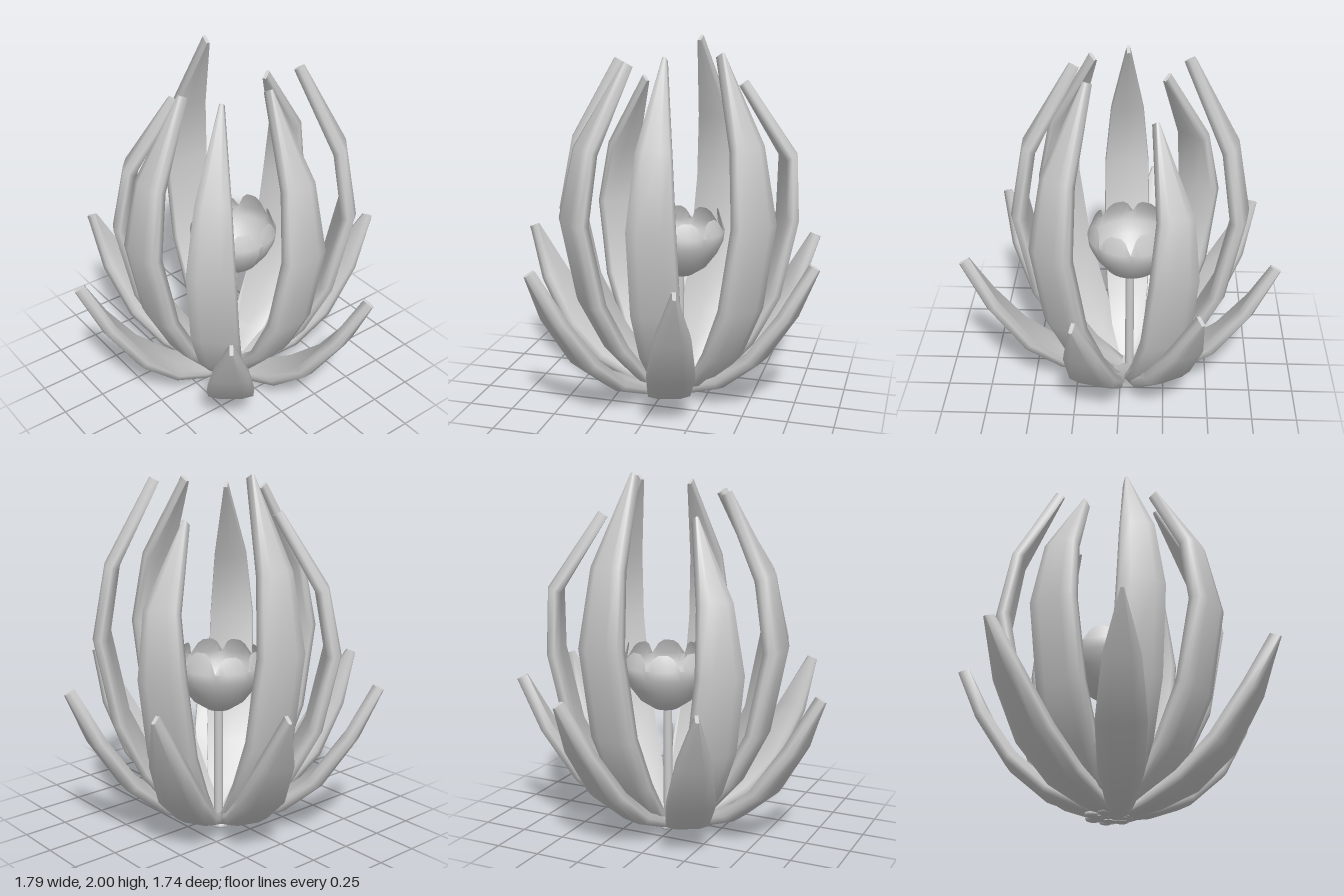
import * as THREE from 'three';

const grey = new THREE.MeshStandardMaterial({ color: 0xcccccc });
const greyThin = new THREE.MeshStandardMaterial({ color: 0xcccccc, side: THREE.DoubleSide });
const CX = 0.05, CZ = -0.045; // middle of the inner whorl

// Petal cross-section: [across -1..1, depth 0 (outside)..1 (inside)]
const section = [
  [-1, 0.5], [-0.95, 0.08], [-0.5, 0], [0.5, 0], [0.95, 0.08],
  [1, 0.5], [0.95, 0.95], [0, 0.9], [-0.95, 0.95],
];

// Sweeps the section along outer-face stations [radius, height, half width, thickness]
function petalGeometry(stations) {
  const pos = [], idx = [], n = section.length;
  stations.forEach(([r, y, w, t], i) => {
    const a = stations[Math.max(i - 1, 0)], b = stations[Math.min(i + 1, stations.length - 1)];
    const len = Math.hypot(b[0] - a[0], b[1] - a[1]);
    const nr = -(b[1] - a[1]) / len, ny = (b[0] - a[0]) / len; // inward normal
    for (const [u, d] of section) {
      const depth = d * t + 0.1 * w * u * u; // edges curl inward
      pos.push(r + nr * depth, Math.max(0, y + ny * depth), u * w);
    }
  });
  for (let i = 0; i < stations.length - 1; i++) {
    for (let j = 0; j < n; j++) {
      const a = i * n + j, b = i * n + (j + 1) % n;
      idx.push(a, a + n, b, b, a + n, b + n);
    }
  }
  // Flat caps with their own corners
  for (const end of [0, stations.length - 1]) {
    const start = pos.length / 3, c = [0, 0, 0];
    for (let j = 0; j < n; j++) {
      for (let k = 0; k < 3; k++) {
        const v = pos[(end * n + j) * 3 + k];
        pos.push(v);
        c[k] += v / n;
      }
    }
    pos.push(...c);
    for (let j = 0; j < n; j++) {
      const a = start + j, b = start + (j + 1) % n;
      if (end) idx.push(start + n, b, a);
      else idx.push(start + n, a, b);
    }
  }
  const g = new THREE.BufferGeometry();
  g.setAttribute('position', new THREE.Float32BufferAttribute(pos, 3));
  g.setIndex(idx);
  g.computeVertexNormals();
  return g;
}

function addPetal(group, geometry, name, degrees, x, z) {
  const m = new THREE.Mesh(geometry, grey);
  m.name = name;
  m.position.set(x, 0, z);
  m.rotation.y = -THREE.MathUtils.degToRad(degrees);
  group.add(m);
}

// Tall petal of a given height, with its own upper bend and tip radius
function innerPetalGeometry(height, bendR, tipR) {
  const s = height / 1.92;
  return petalGeometry([
    [0.05, 0, 0.05, 0.03], [0.24, 0.1 * s, 0.1, 0.065], [0.41, 0.3 * s, 0.125, 0.08],
    [0.56, 0.6 * s, 0.135, 0.08], [0.655, 1.08 * s, 0.13, 0.08],
    [bendR, 1.48 * s, 0.095, 0.075], [tipR, height, 0.01, 0.06],
  ]);
}

// Cup with a rim of eight blunt teeth leaning inward
function cupGeometry() {
  const profile = [[0, 0.68], [0.07, 0.69], [0.145, 0.74], [0.205, 0.82], [0.238, 0.89], [0.245, 0.945], [0.21, 1.03]]
    .map(([r, y]) => new THREE.Vector2(r, y));
  const perTooth = 6, g = new THREE.LatheGeometry(profile, 8 * perTooth);
  const p = g.attributes.position, rows = profile.length;
  const wave = [0, 0.75, 1, 1, 1, 0.75];
  for (let i = rows - 1; i < p.count; i += rows) {
    const k = Math.floor(i / rows), f = wave[k % perTooth];
    const tall = Math.floor(k / perTooth) === 2 ? 0.025 : 0; // one taller tooth
    p.setXYZ(i,
      THREE.MathUtils.lerp(p.getX(i - 1), p.getX(i), f),
      0.95 + (0.08 + tall) * f,
      THREE.MathUtils.lerp(p.getZ(i - 1), p.getZ(i), f));
  }
  g.computeVertexNormals();
  return g;
}

export function createModel() {
  const flower = new THREE.Group();
  flower.name = 'flower';

  // Low spreading petals
  const outer = new THREE.Group();
  outer.name = 'outerPetals';
  const outerGeo = petalGeometry([
    [0.06, 0, 0.05, 0.03], [0.2, 0.03, 0.085, 0.06], [0.4, 0.11, 0.12, 0.075],
    [0.61, 0.29, 0.13, 0.08], [0.79, 0.57, 0.095, 0.075], [0.915, 0.86, 0.01, 0.065],
  ]);
  for (const deg of [-71, -28.5, 14, 72, 126.5, 191.5, 240]) addPetal(outer, outerGeo, 'outerPetal', deg, 0, 0);
  flower.add(outer);

  // Tall petals closing over the cup: [angle, height, shift x, shift z, bend radius, tip radius]
  const inner = new THREE.Group();
  inner.name = 'innerPetals';
  const tall = [
    [88, 1.94, 0, -0.01, 0.58, 0.32], [39, 1.96, 0.04, 0.005, 0.58, 0.335],
    [-24, 1.78, 0.03, 0, 0.64, 0.36], [-81, 2, 0.005, 0.005, 0.58, 0.335],
    [221, 1.78, -0.015, 0, 0.58, 0.32], [177, 1.9, -0.01, 0, 0.58, 0.34],
    [137, 1.9, -0.015, 0.015, 0.57, 0.3],
  ];
  for (const [deg, h, dx, dz, bendR, tipR] of tall) {
    addPetal(inner, innerPetalGeometry(h, bendR, tipR), 'innerPetal', deg, CX + dx, CZ + dz);
  }
  flower.add(inner);

  // Stem and toothed cup in the middle
  const stem = new THREE.Mesh(new THREE.CylinderGeometry(0.025, 0.025, 0.69, 12), grey);
  stem.name = 'stem';
  stem.position.set(CX + 0.015, 0.345, CZ - 0.005);
  const cup = new THREE.Mesh(cupGeometry(), greyThin);
  cup.name = 'cup';
  cup.position.set(CX + 0.02, 0, CZ - 0.015);
  flower.add(stem, cup);

  // Knobbly foot where the petals meet
  const foot = new THREE.Group();
  foot.name = 'foot';
  foot.position.set(CX, 0.02, CZ);
  const knobGeo = new THREE.SphereGeometry(0.05, 8, 6).scale(1, 0.4, 0.9);
  for (let i = 0; i < 7; i++) {
    const a = i / 7 * Math.PI * 2, knob = new THREE.Mesh(knobGeo, grey);
    knob.name = 'footKnob';
    knob.position.set(Math.cos(a) * 0.095, 0, Math.sin(a) * 0.095);
    knob.rotation.y = -a;
    foot.add(knob);
  }
  const core = new THREE.Mesh(new THREE.CylinderGeometry(0.09, 0.09, 0.03, 14), grey);
  core.name = 'footCore';
  foot.add(core);
  flower.add(foot);
  return flower;
}
